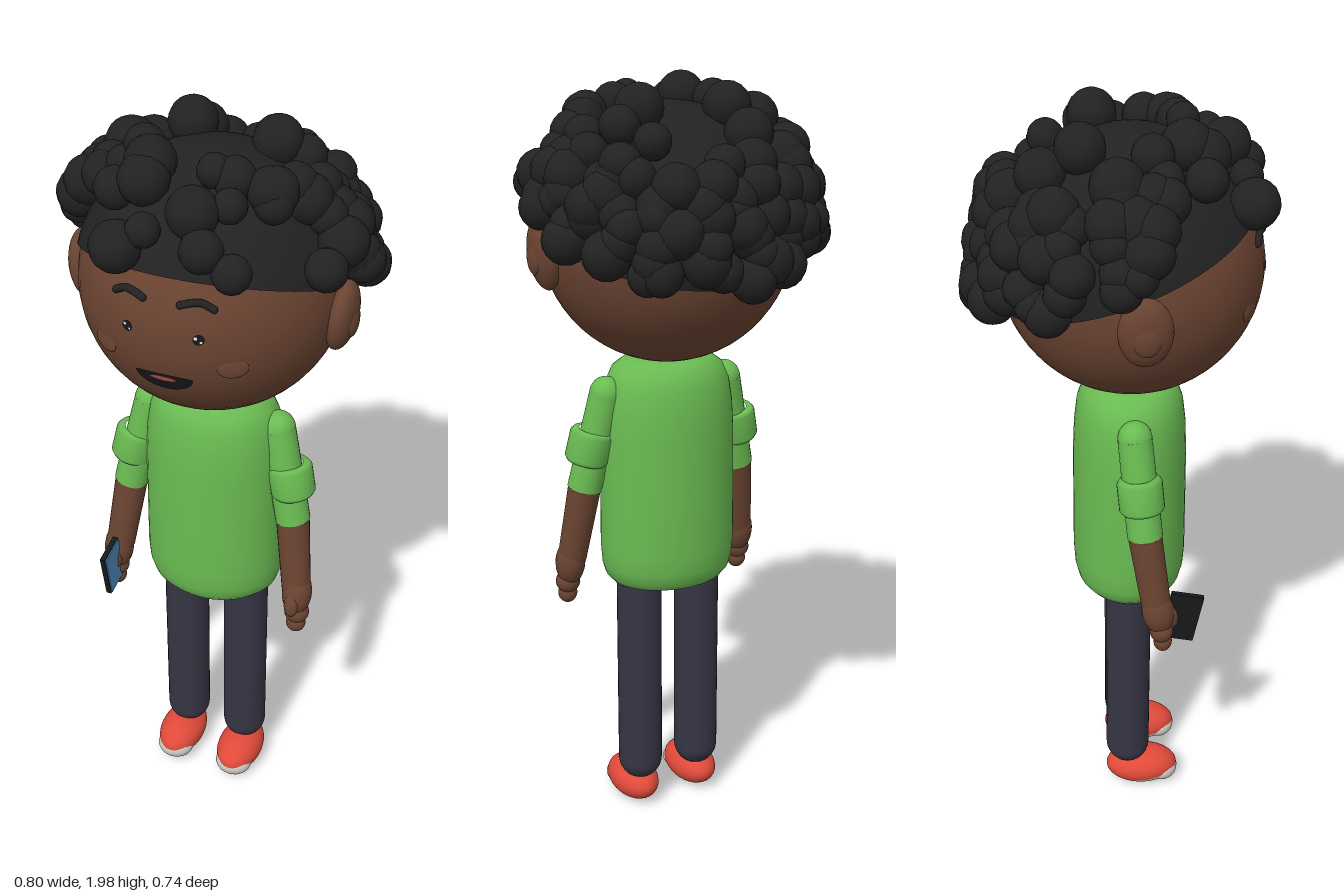
import * as THREE from 'three';

const mat = (name, color) => {
  const m = new THREE.MeshStandardMaterial({ color });
  m.name = name;
  return m;
};

export function createModel() {
  const skin = mat('skin', 0x6b4432), shirt = mat('shirt green', 0x6abb52), hair = mat('hair black', 0x222223);
  const denim = mat('trouser navy', 0x363544), red = mat('shoe red', 0xe04a3a), sole = mat('sole grey', 0xccc8c0);
  const black = mat('black', 0x17181b), blue = mat('screen blue', 0x4f90c6), lip = mat('tongue', 0xb0524c);
  const white = mat('white', 0xf4f4f4);

  const root = new THREE.Group();
  root.name = 'standingFigure';
  const V = (x, y, z) => new THREE.Vector3(x, y, z);
  const add = (parent, name, geo, material, x = 0, y = 0, z = 0) => {
    const m = new THREE.Mesh(geo, material);
    m.name = name;
    m.position.set(x, y, z);
    parent.add(m);
    return m;
  };
  const ball = (parent, name, material, p, s, seg = 24) => {
    const m = add(parent, name, new THREE.SphereGeometry(1, seg, Math.round(seg * 0.7)), material, ...p);
    m.scale.set(...s);
    return m;
  };
  // tapered limb piece between two points
  const limb = (parent, name, material, a, b, ra, rb) => {
    const d = b.clone().sub(a);
    const m = add(parent, name, new THREE.CylinderGeometry(rb, ra, d.length(), 24), material);
    m.position.copy(a).addScaledVector(d, 0.5);
    m.quaternion.setFromUnitVectors(V(0, 1, 0), d.normalize());
    return m;
  };

  // ---- head ----
  const C = V(0, 1.6, 0.04), R = 0.32;
  const head = new THREE.Group();
  head.name = 'head';
  head.position.copy(C);
  root.add(head);
  add(head, 'skull', new THREE.SphereGeometry(R, 48, 32), skin);
  const onFace = (x, y, lift) => V(x, y, Math.sqrt((R + lift) ** 2 - x * x - y * y));

  // thin patch hugging the face; the upper half is squashed by topScale
  const patch = (name, material, x, y, w, h, lift, topScale = 1) => {
    const g = new THREE.RingGeometry(0, 1, 28, 4), p = g.attributes.position;
    for (let i = 0; i < p.count; i++) {
      const v = p.getY(i);
      const q = onFace(x + p.getX(i) * w, y + v * h * (v > 0 ? topScale : 1), lift);
      p.setXYZ(i, q.x, q.y, q.z);
    }
    g.computeVertexNormals();
    add(head, name, g, material);
  };
  patch('mouth', black, 0, -0.097, 0.07, 0.042, 0.003, 0.2);
  patch('tongue', lip, 0, -0.101, 0.033, 0.008, 0.006);

  for (const s of [-1, 1]) {
    const ear = ball(head, 'ear', skin, [s * 0.325, -0.025, 0.02], [0.036, 0.09, 0.064]);
    ear.rotation.z = -s * 0.12;
    ball(head, 'innerEar', skin, [s * 0.349, -0.03, 0.022], [0.016, 0.045, 0.034]);
    const cheek = ball(head, 'cheek', skin, onFace(s * 0.155, -0.06, -0.002).toArray(), [0.036, 0.026, 0.006]);
    cheek.rotation.y = s * 0.5;
    const ex = s * 0.085 + 0.004;
    patch('eye', black, ex, 0.021, 0.013, 0.013, 0.003);
    patch('eyeGlint', white, ex - 0.006, 0.025, 0.004, 0.004, 0.005);
    patch('eyeGlint', white, ex + 0.006, 0.016, 0.003, 0.003, 0.005);
    const arc = [[0.044, 0.097], [0.064, 0.103], [0.09, 0.105], [0.117, 0.092]].map(([x, y]) => onFace(s * x, y, 0.003));
    add(head, 'eyebrow', new THREE.TubeGeometry(new THREE.CatmullRomCurve3(arc), 14, 0.009, 8), hair);
    for (const e of [arc[0], arc[3]]) ball(head, 'eyebrowEnd', hair, e.toArray(), [0.009, 0.009, 0.009], 8);
  }

  // ---- hair: tilted cap with curls ----
  const tilt = -0.36;
  const cap = add(head, 'hairCap', new THREE.SphereGeometry(0.329, 48, 24, 0, Math.PI * 2, 0, 1.455), hair);
  cap.rotation.x = tilt;

  let seed = 7;
  const rnd = () => (seed = (seed * 16807) % 2147483647) / 2147483647;
  const curl = (p, r) => ball(head, 'curl', hair, p.toArray(), [r, r, r], 14);

  // crown and fringe curls: x, z, radius
  const crown = [
    [-0.1, -0.08, 0.06], [-0.11, -0.17, 0.06], [-0.22, 0, 0.065], [-0.15, 0.08, 0.05], [-0.17, 0.2, 0.05],
    [-0.1, 0.2, 0.06], [-0.12, 0.315, 0.06], [0.05, 0.16, 0.04], [0.11, 0.22, 0.04], [0.04, 0.26, 0.06],
    [0.18, 0.13, 0.055], [0.12, -0.05, 0.06], [0.18, -0.07, 0.05], [0.24, 0, 0.05], [0.14, -0.16, 0.045],
    [0.2, -0.19, 0.05], [0, -0.25, 0.05], [0.15, 0.31, 0.045], [0.08, 0.31, 0.05], [-0.08, -0.24, 0.06],
    [-0.2, -0.17, 0.06], [-0.06, 0.3, 0.04], [-0.28, 0.04, 0.06], [0.31, 0.15, 0.05]];
  for (const [x, z, r] of crown) {
    const dz = z - C.z;
    curl(V(x, Math.sqrt(0.356 ** 2 - x * x - dz * dz), dz), r);
  }
  // dense band round the sides and back
  const n = 120, axisX = V(1, 0, 0);
  for (let i = 0; i < n; i++) {
    const c = 0.19 + 0.56 * (i + 0.5) / n, a = i * 2.39996 + (rnd() - 0.5) * 0.3;
    const q = Math.sqrt(1 - c * c);
    const d = V(q * Math.sin(a), c, q * Math.cos(a)).applyAxisAngle(axisX, tilt);
    if (d.z > 0.33 || (d.z > -0.3 && c < 0.25)) continue;
    curl(d.multiplyScalar(0.345 + rnd() * 0.022), 0.044 + rnd() * 0.018);
  }

  // ---- shirt body ----
  const profile = [[0, 0.672], [0.7, 0.674], [0.84, 0.682], [0.93, 0.7], [0.98, 0.73], [1, 0.78], [0.995, 0.9],
    [0.985, 1.08], [0.96, 1.16], [0.91, 1.22], [0.81, 1.262], [0.65, 1.283], [0.4, 1.289], [0, 1.29]]
    .map(([x, y]) => new THREE.Vector2(x, y));
  const torso = add(root, 'shirtBody', new THREE.LatheGeometry(profile, 48), shirt, 0, 0, 0.039);
  torso.scale.set(0.184, 1, 0.148);

  // rounded band that rolls up the sleeve
  const cuffProfile = [[0.036, -0.044], [0.05, -0.044], [0.057, -0.034], [0.057, 0.034], [0.05, 0.044], [0.036, 0.044]]
    .map(([x, y]) => new THREE.Vector2(x, y));

  for (const s of [-1, 1]) {
    // ---- leg ----
    add(root, 'trouserLeg', new THREE.CapsuleGeometry(0.06, 0.56, 8, 28), denim, s * 0.087, 0.42, 0.035);

    // ---- shoe: red upper, pale sole and toe cap ----
    const shoe = new THREE.Group();
    shoe.name = 'shoe';
    shoe.position.set(s * 0.091, 0.057, 0.075);
    root.add(shoe);
    const split = 1.92;
    for (const [name, m, start, len] of [['shoeUpper', red, 0, split], ['shoeSole', sole, split, Math.PI - split]]) {
      const g = new THREE.SphereGeometry(1, 32, 20, 0, Math.PI * 2, start, len);
      g.rotateX(-0.35);
      g.scale(0.063, 0.053, 0.1);
      add(shoe, name, g, m);
    }
    ball(shoe, 'toeCap', sole, [0, -0.012, 0.056], [0.052, 0.035, 0.046]);

    // ---- arm ----
    const arm = new THREE.Group();
    arm.name = s > 0 ? 'leftArm' : 'rightArm';
    root.add(arm);
    const shoulder = V(s * 0.172, 1.205, 0.045), elbow = V(s * 0.226, 0.95, 0.07), wrist = V(s * 0.252, 0.75, 0.1);
    ball(arm, 'shoulder', shirt, shoulder.toArray(), [0.043, 0.045, 0.043]);
    limb(arm, 'sleeve', shirt, shoulder, elbow, 0.043, 0.045);
    const cuff = add(arm, 'sleeveCuff', new THREE.LatheGeometry(cuffProfile, 28), shirt);
    cuff.position.lerpVectors(shoulder, elbow, 0.54).setX(s * 0.215);
    cuff.quaternion.setFromUnitVectors(V(0, 1, 0), shoulder.clone().sub(elbow).normalize());
    ball(arm, 'elbow', skin, elbow.toArray(), [0.043, 0.043, 0.043]);
    limb(arm, 'forearm', skin, elbow, wrist, 0.043, 0.038);
    const palm = ball(arm, 'palm', skin, [s * 0.256, 0.735, 0.104], [0.039, 0.066, 0.042]);
    palm.rotation.x = -0.15;
    ball(arm, 'knuckles', skin, [s * 0.26, 0.678, 0.113], [0.033, 0.032, 0.031]);
    ball(arm, 'fingertips', skin, [s * 0.26, 0.643, 0.117], [0.026, 0.028, 0.024]);
    const thumb = ball(arm, 'thumb', skin, [s * 0.253, 0.718, 0.138], [0.02, 0.036, 0.018], 16);
    thumb.rotation.x = -0.15;
  }

  // ---- phone held in the right hand ----
  const phone = new THREE.Group();
  phone.name = 'phone';
  phone.position.set(-0.25, 0.714, 0.167);
  phone.rotation.x = 0.19;
  root.add(phone);
  add(phone, 'phoneBody', new THREE.BoxGeometry(0.014, 0.14, 0.084), black);
  add(phone, 'phoneScreen', new THREE.BoxGeometry(0.004, 0.134, 0.078), blue, 0.008);

  return root;
}
